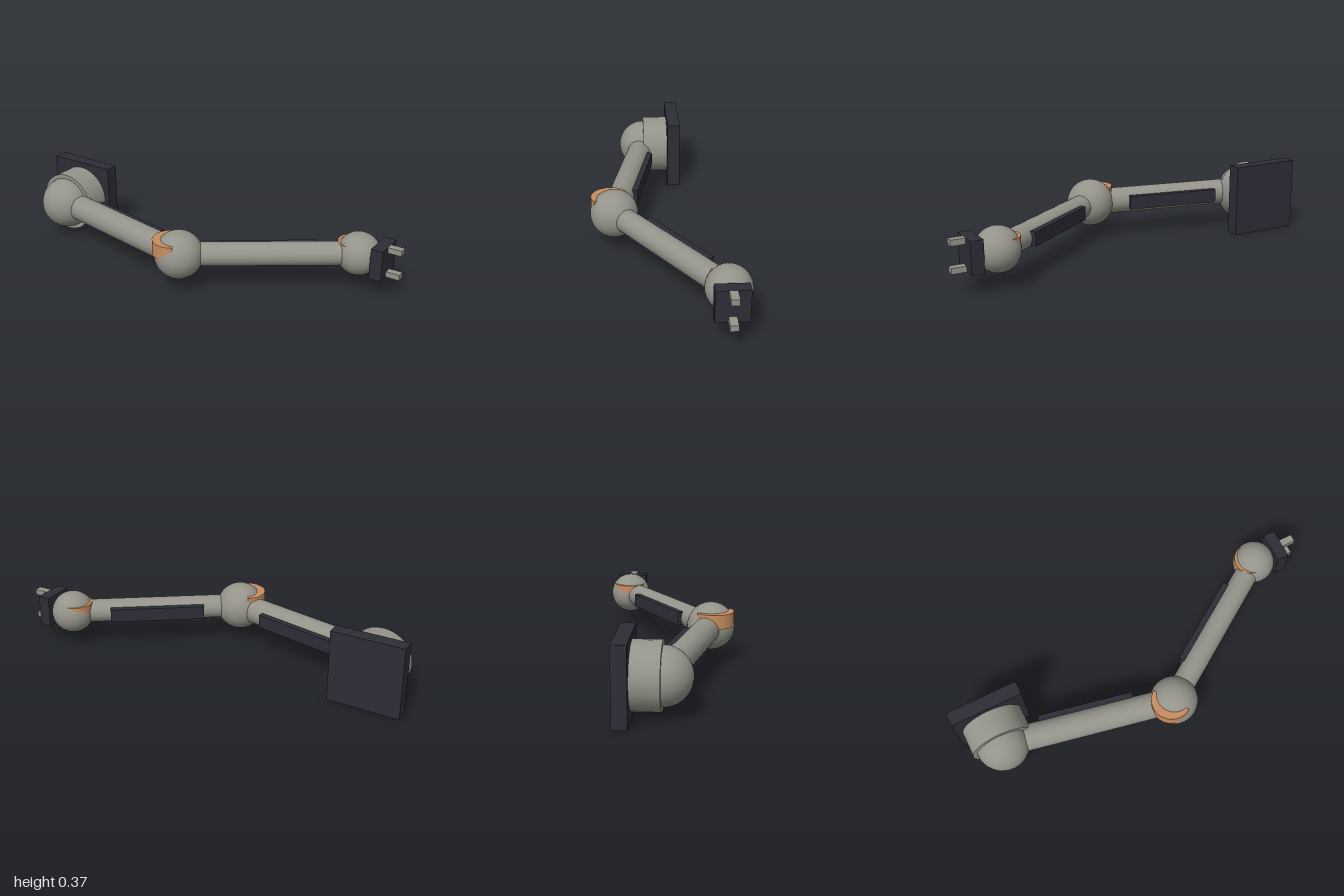
import * as THREE from 'three';

export function createModel() {
  const model = new THREE.Group();
  model.name = 'roboticArm';

  const material = (name, color) => {
    const m = new THREE.MeshStandardMaterial({ color });
    m.name = name;
    return m;
  };
  const grey = material('warm grey metal', 0x94948b);
  const dark = material('dark charcoal', 0x2d2d37);
  const copper = material('copper accent', 0xc98d60);

  const add = (parent, name, geometry, mat, x, y, z) => {
    const mesh = new THREE.Mesh(geometry, mat);
    mesh.name = name;
    mesh.position.set(x, y, z);
    parent.add(mesh);
    return mesh;
  };
  const box = (w, h, d) => new THREE.BoxGeometry(w, h, d);

  const Y = 0.185;
  const shoulder = new THREE.Vector3(-0.817, Y, 0.068);
  const elbow = new THREE.Vector3(0.045, Y, 0.243);
  const wrist = new THREE.Vector3(0.773, Y, -0.255);

  // Mounting plate and drum
  add(model, 'mountingPlate', box(0.367, 0.37, 0.07), dark, -0.817, Y, -0.1);
  add(model, 'baseDrum', new THREE.CylinderGeometry(0.157, 0.157, 0.133, 32).rotateX(Math.PI / 2),
    grey, -0.817, Y, 0.0015);

  // Ball joints
  const joints = [['shoulderJoint', shoulder, 0.135], ['elbowJoint', elbow, 0.122], ['wristJoint', wrist, 0.109]];
  for (const [name, p, r] of joints) {
    add(model, name, new THREE.SphereGeometry(r, 32, 20), grey, p.x, p.y, p.z);
  }

  // Arm segment along local x, with a dark panel on its back
  const segment = (name, from, to, radius, panelOuter) => {
    const group = new THREE.Group();
    const length = from.distanceTo(to);
    group.name = name;
    group.position.copy(from);
    group.rotation.y = Math.atan2(from.z - to.z, to.x - from.x);
    add(group, name + 'Tube', new THREE.CylinderGeometry(radius, radius, length, 32).rotateZ(-Math.PI / 2),
      grey, length / 2, 0, 0);
    add(group, name + 'Panel', box(length * 0.55, 0.07, 0.03), dark, length / 2, 0, 0.015 - panelOuter);
    model.add(group);
    return group;
  };
  segment('upperArm', shoulder, elbow, 0.067, 0.086);
  const forearm = segment('forearm', elbow, wrist, 0.06, 0.079);

  // Half-disc accents set into the joints, bulging towards local -x
  const halfDisc = (radius, height) => {
    const shape = new THREE.Shape();
    shape.absarc(0, 0, radius, Math.PI / 2, Math.PI * 1.5);
    shape.closePath();
    return new THREE.ExtrudeGeometry(shape, { depth: height, bevelEnabled: false, curveSegments: 20 })
      .rotateX(-Math.PI / 2);
  };
  add(forearm, 'elbowAccent', halfDisc(0.1, 0.073), copper, -0.03, 0.01, 0);

  // Gripper
  add(model, 'wristAccent', halfDisc(0.085, 0.052), copper, wrist.x - 0.022, Y + 0.008, wrist.z);
  add(model, 'gripperPalm', box(0.062, 0.159, 0.158), dark, 0.899, 0.187, -0.255);
  for (const s of [-1, 1]) {
    add(model, s > 0 ? 'upperFinger' : 'lowerFinger', box(0.07, 0.029, 0.039), grey, 0.965, 0.187 + s * 0.065, -0.255);
  }

  return model;
}
